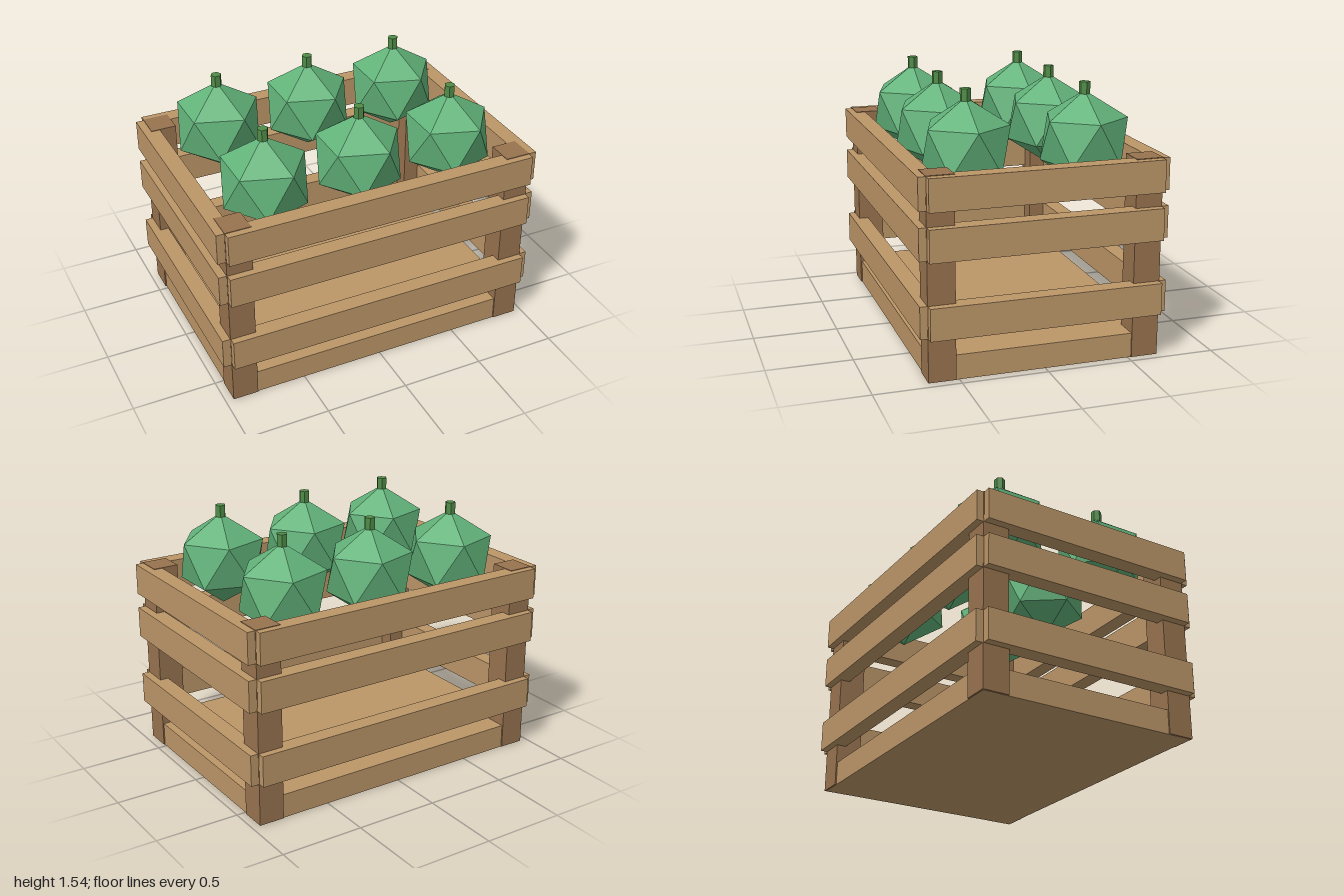
import * as THREE from 'three';

export function createModel() {
  const root = new THREE.Group();
  root.name = 'fruitCrate';

  const material = (name, color) => {
    const m = new THREE.MeshStandardMaterial({ color, flatShading: true });
    m.name = name;
    return m;
  };
  const plankWood = material('plank wood', 0xbc9668);
  const postWood = material('post wood', 0x98734f);
  const fruitGreen = material('fruit green', 0x62b37a);
  const stemGreen = material('stem green', 0x508c48);

  const add = (name, geometry, mat, x, y, z, parent = root) => {
    const mesh = new THREE.Mesh(geometry, mat);
    mesh.name = name;
    mesh.position.set(x, y, z);
    parent.add(mesh);
  };

  // Thick floor board, just inside the outer faces of the posts
  add('floor', new THREE.BoxGeometry(1.89, 0.145, 1.34), plankWood, 0, 0.0725, 0);

  // Corner posts
  const postGeometry = new THREE.BoxGeometry(0.153, 1.163, 0.158);
  for (const sx of [-1, 1]) {
    for (const sz of [-1, 1]) {
      add('cornerPost', postGeometry, postWood, sx * 0.876, 0.5835, sz * 0.599);
    }
  }

  // Three rows of slats on all four sides
  const longSlat = new THREE.BoxGeometry(1.9, 0.187, 0.1);
  const shortSlat = new THREE.BoxGeometry(0.1, 0.187, 1.35);
  for (const y of [0.352, 0.791, 1.068]) {
    for (const s of [-1, 1]) {
      add(s > 0 ? 'frontSlat' : 'backSlat', longSlat, plankWood, 0, y, s * 0.67);
      add(s > 0 ? 'leftSlat' : 'rightSlat', shortSlat, plankWood, s * 0.95, y, 0);
    }
  }

  // Faceted fruit, one corner turned straight up, with a six-sided stem
  const bodyGeometry = new THREE.IcosahedronGeometry(0.278, 0);
  bodyGeometry.rotateZ(-Math.atan(2 / (1 + Math.sqrt(5))));
  const stemGeometry = new THREE.CylinderGeometry(0.032, 0.032, 0.07, 6);
  stemGeometry.rotateY(Math.PI / 2);
  for (const x of [-0.585, 0, 0.585]) {
    for (const z of [-0.35, 0.35]) {
      const fruit = new THREE.Group();
      fruit.name = 'fruit';
      fruit.position.set(x, 1.216, z);
      add('fruitBody', bodyGeometry, fruitGreen, 0, 0, 0, fruit);
      add('fruitStem', stemGeometry, stemGreen, 0, 0.294, 0, fruit);
      root.add(fruit);
    }
  }

  return root;
}
